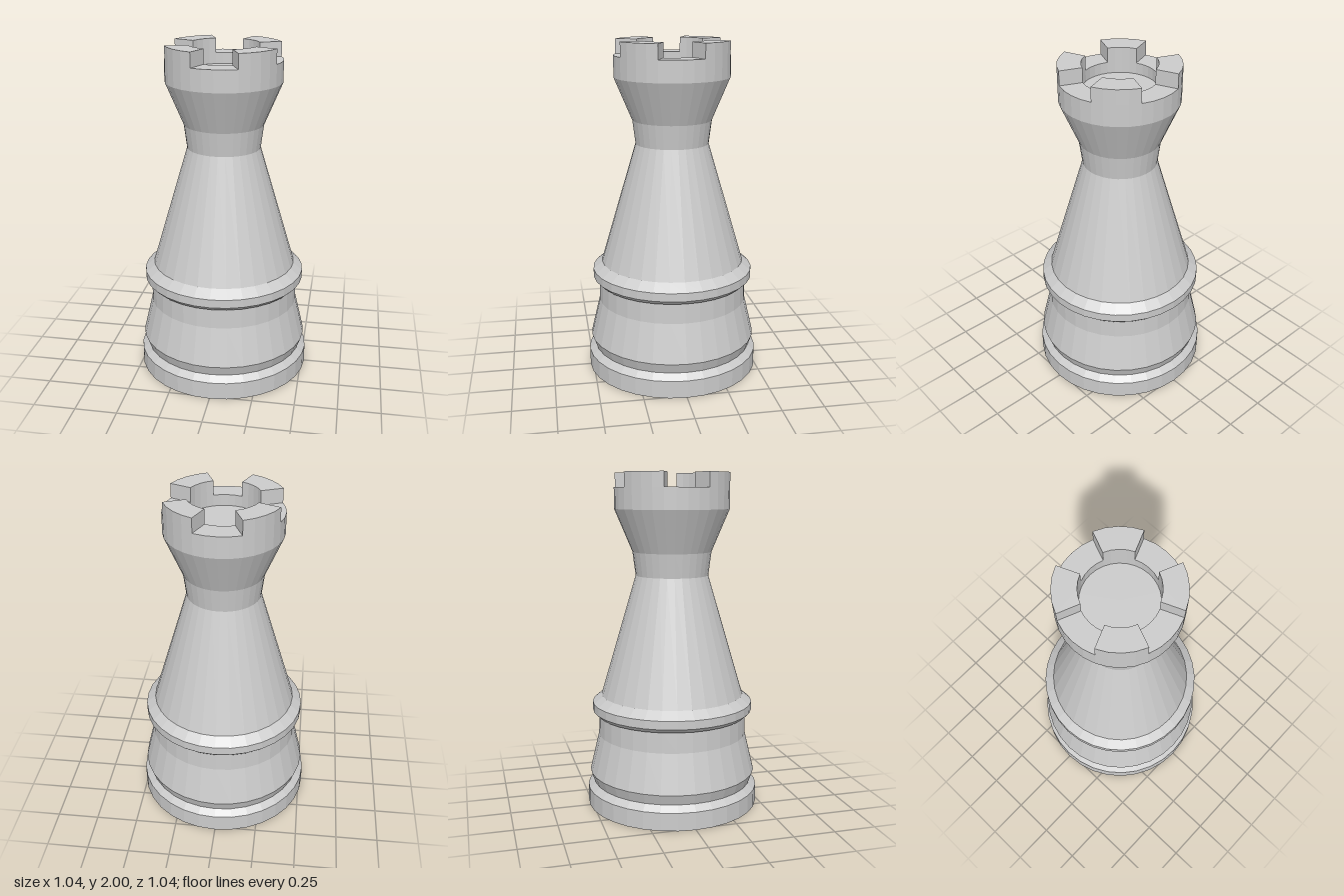
import * as THREE from 'three';

const SIDES = 32;
const OUTER = 0.34, INNER = 0.21; // crown wall radii
const NOTCH = 1.915, TOP = 2;     // notch floor and battlement height

// Turned sections as [radius, height], each starting where the last one ends
const SECTIONS = {
  foot: [[0, 0], [0.52, 0], [0.52, 0.107], [0.483, 0.142]],
  lowerDrum: [[0.483, 0.142], [0.505, 0.205], [0.45, 0.435], [0.447, 0.56]],
  collar: [[0.447, 0.56], [0.46, 0.56], [0.485, 0.585], [0.485, 0.635], [0.43, 0.68]],
  taperedBody: [[0.43, 0.68], [0.217, 1.4]],
  neck: [[0.217, 1.4], [0.235, 1.54], [OUTER, 1.79]],
  crown: [[OUTER, 1.79], [OUTER, NOTCH], [INNER, NOTCH], [INNER, 1.85], [0, 1.85]],
};

// One eighth of the crown ring, centred on a diagonal
function merlonGeometry() {
  const steps = 4;
  const arc = (r) => Array.from({ length: steps + 1 }, (_, i) => {
    const a = Math.PI / 8 + (i / steps) * Math.PI / 4;
    return new THREE.Vector2(r * Math.cos(a), r * Math.sin(a));
  });
  const shape = new THREE.Shape([...arc(OUTER), ...arc(INNER).reverse()]);
  const geometry = new THREE.ExtrudeGeometry(shape, { depth: TOP - NOTCH, bevelEnabled: false });
  return geometry.rotateX(-Math.PI / 2).translate(0, NOTCH, 0);
}

export function createModel() {
  const group = new THREE.Group();
  group.name = 'rook';
  const material = new THREE.MeshStandardMaterial({ color: 0xcccccc, flatShading: true });

  // Turned body
  for (const [name, profile] of Object.entries(SECTIONS)) {
    const points = profile.map(([r, y]) => new THREE.Vector2(r, y));
    const mesh = new THREE.Mesh(new THREE.LatheGeometry(points, SIDES), material);
    mesh.name = name;
    group.add(mesh);
  }

  // Four battlements, with the gaps on the axes
  const geometry = merlonGeometry();
  for (let i = 0; i < 4; i++) {
    const merlon = new THREE.Mesh(geometry, material);
    merlon.name = `merlon${i + 1}`;
    merlon.rotation.y = i * Math.PI / 2;
    group.add(merlon);
  }
  return group;
}
